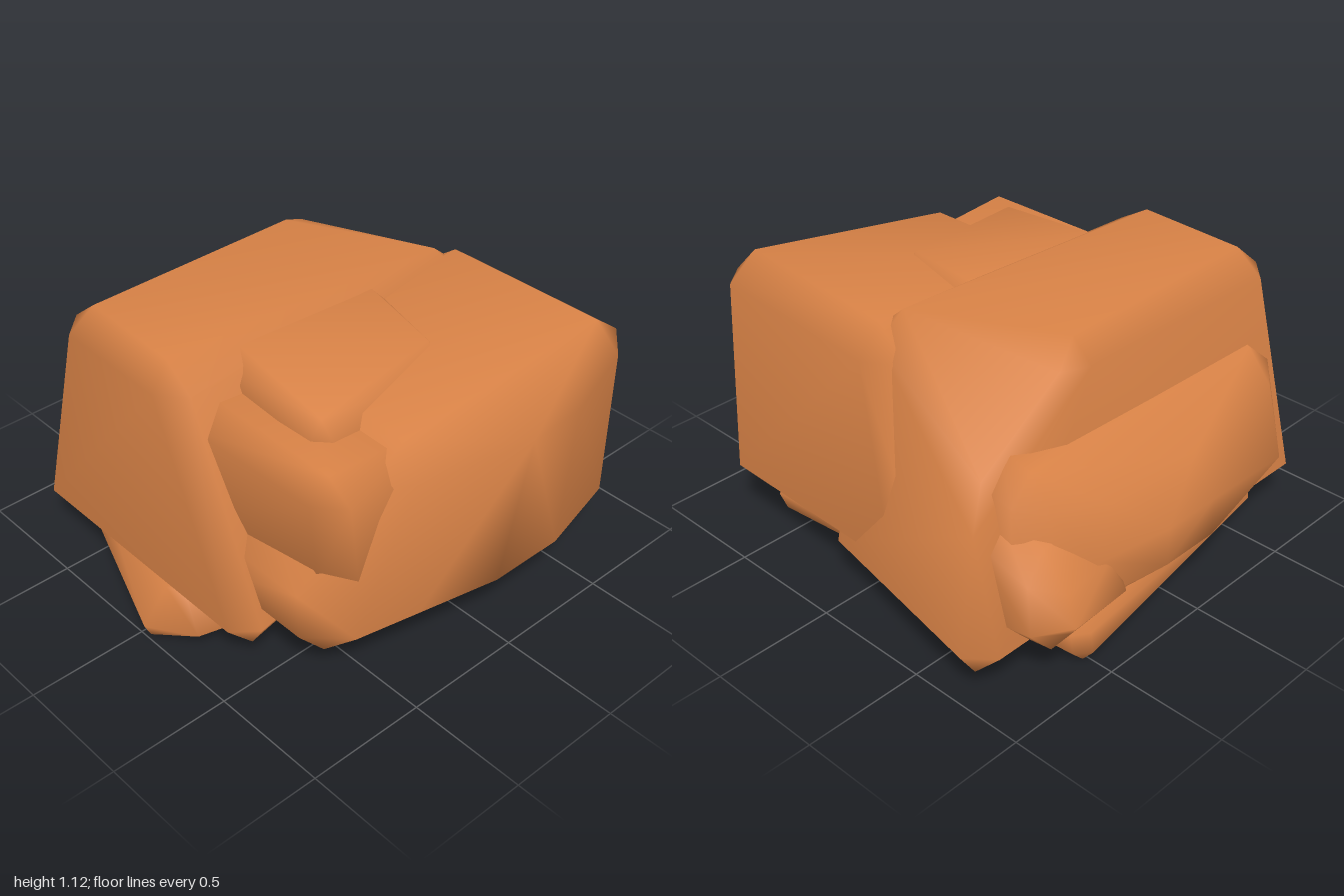
import * as THREE from 'three';
import { ConvexGeometry } from 'three/addons/geometries/ConvexGeometry.js';
import { mergeVertices } from 'three/addons/utils/BufferGeometryUtils.js';

const V = (p) => new THREE.Vector3(...p);

// Bevelled rock: four bottom and four top corners, each list ordered
// right-front (-x), left-front (+x), left-back, right-back.
// Bulge points push the faces outwards.
function rockGeometry(bottom, top, bevel, bulge = []) {
  const c = [...bottom, ...top].map(V);
  const points = bulge.map(V);
  for (let i = 0; i < 8; i++) {
    const level = i < 4 ? 0 : 4;
    const steps = [level + ((i + 1) % 4), level + ((i + 3) % 4), (i + 4) % 8]
      .map((n) => c[n].clone().sub(c[i]).setLength(bevel));
    // Each corner is cut back into three points, one per neighbouring face
    for (let k = 0; k < 3; k++) {
      points.push(c[i].clone().add(steps[k]).add(steps[(k + 1) % 3]));
    }
  }
  const hull = new ConvexGeometry(points);
  hull.deleteAttribute('normal');
  const smooth = mergeVertices(hull, 1e-4);
  smooth.computeVertexNormals();
  return smooth;
}

export function createModel() {
  const group = new THREE.Group();
  const sandstone = new THREE.MeshStandardMaterial({ color: 0xd88246 });
  sandstone.name = 'sandstone';

  function rock(name, bottom, top, bevel, bulge) {
    const mesh = new THREE.Mesh(rockGeometry(bottom, top, bevel, bulge), sandstone);
    mesh.name = name;
    group.add(mesh);
  }

  // Flat slab under the pile
  rock('baseSlab',
    [[-1.055, 0, 0.07], [0.69, 0, 0.63], [0.57, 0, -0.94], [-0.73, 0, -0.74]],
    [[-0.88, 0.24, 0.1], [0.75, 0.17, 0.67], [0.57, 0.19, -0.91], [-0.68, 0.24, -0.7]],
    0.055,
    [[-0.9, 0.07, 0.23]]);

  // Large rock across the back, its left shoulder sloping away
  rock('backBoulder',
    [[-0.89, 0.11, 0.54], [0.84, 0.11, 0.2], [1.05, 0.11, -0.83], [-0.89, 0.11, -0.85]],
    [[-0.85, 1.12, 0.03], [0.67, 1.12, 0.12], [0.3, 1.12, -0.64], [-0.82, 1.12, -0.64]],
    0.1,
    [[0.38, 1.05, -0.61], [0.78, 0.79, -0.62], [0.87, 0.63, -0.67], [0.99, 0.2, -0.72]]);

  // Large rock at the front with a bowed face
  rock('frontBoulder',
    [[-0.77, 0.15, 0.78], [0.85, 0.15, 0.81], [0.87, 0.15, -0.38], [-0.77, 0.15, -0.05]],
    [[-0.45, 0.97, 0.84], [0.71, 1.14, 0.93], [0.74, 1.1, -0.06], [-0.45, 0.98, -0.1]],
    0.12,
    [[0.06, 0.93, 0.99], [0.3, 0.95, 0.99], [-0.35, 0.27, 0.85], [0, 0.27, 0.92], [0.33, 0.27, 0.92],
      [-0.76, 0.27, 0.65], [-0.76, 0.46, 0.64], [-0.76, 0.27, 0.1], [-0.76, 0.46, 0.1],
      [0.8, 0.5, -0.26]]);

  // Smaller rocks wedged into the front rock
  rock('sideRock',
    [[-0.66, 0.4, 0.76], [-0.1, 0.4, 0.76], [-0.1, 0.4, -0.1], [-0.74, 0.4, -0.04]],
    [[-0.75, 0.98, 0.79], [-0.1, 0.93, 0.79], [-0.1, 0.95, -0.1], [-0.75, 0.98, -0.04]],
    0.1);
  rock('topRock',
    [[-0.56, 0.7, 0.58], [0.16, 0.7, 0.5], [0.28, 0.7, -0.1], [-0.52, 0.7, -0.1]],
    [[-0.59, 1.02, 0.58], [0.16, 1.06, 0.49], [0.27, 1.1, -0.1], [-0.54, 1.1, -0.1]],
    0.08);

  // Rocks leaning on the back slope
  rock('rearRock',
    [[-0.8, 0.16, -0.5], [0.84, 0.16, -0.5], [0.8, 0.18, -0.9], [-0.78, 0.22, -0.88]],
    [[-0.72, 0.88, -0.5], [0.77, 0.9, -0.5], [0.72, 0.77, -0.81], [-0.7, 0.75, -0.81]],
    0.1,
    [[-0.08, 0.46, -0.98], [0.18, 0.46, -0.98], [-0.08, 0.3, -0.98], [0.18, 0.3, -0.98],
      [-0.05, 0.64, -0.9], [0.4, 0.64, -0.89], [0.5, 0.46, -0.93]]);
  rock('rearCornerRock',
    [[0.3, 0.18, -0.55], [0.87, 0.18, -0.55], [0.82, 0.2, -1.02], [0.25, 0.2, -0.97]],
    [[0.42, 0.72, -0.55], [0.84, 0.72, -0.55], [0.78, 0.53, -0.93], [0.4, 0.53, -0.91]],
    0.1,
    [[0.7, 0.32, -1.0]]);

  return group;
}
